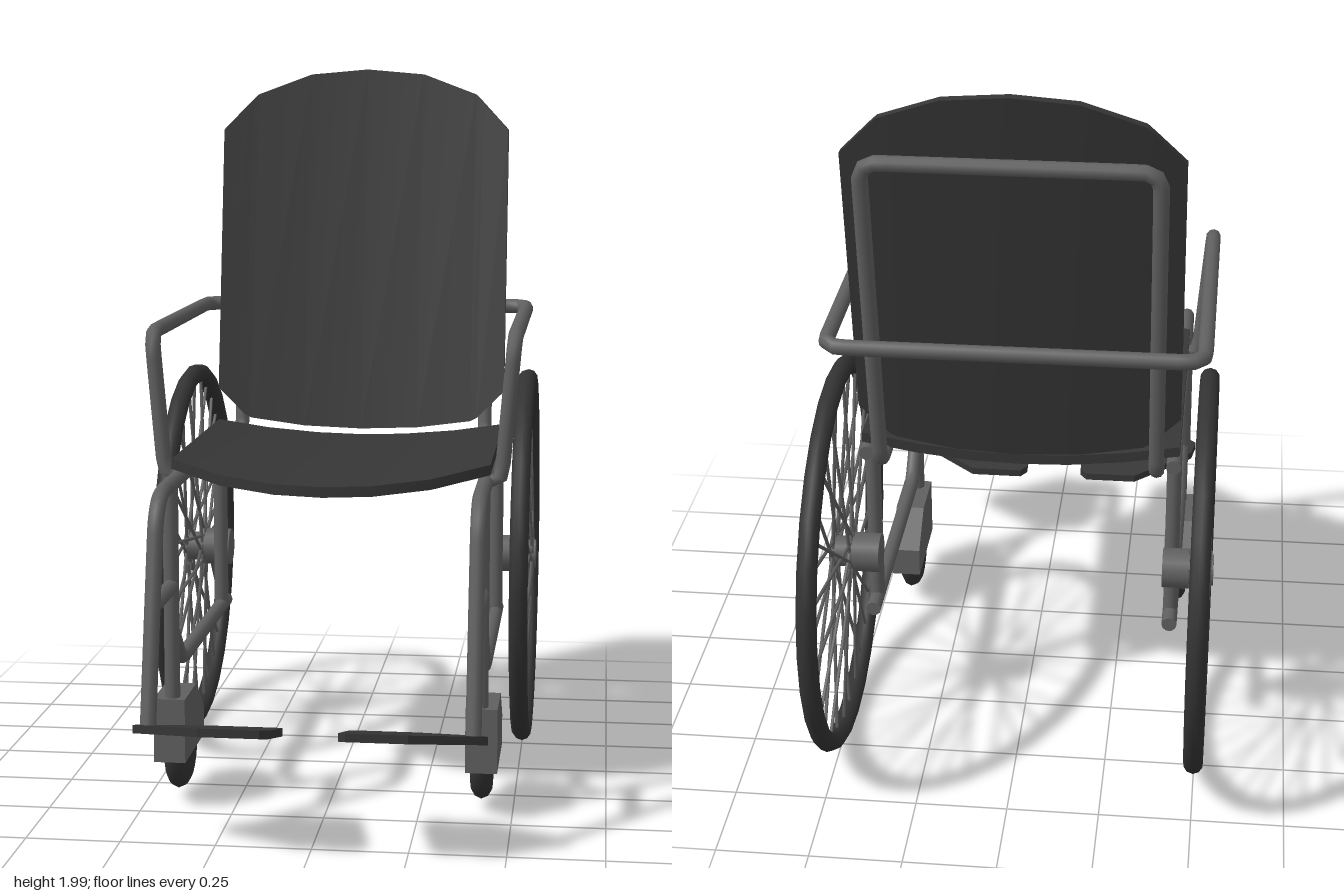
import * as THREE from 'three';

const V = (x, y, z) => new THREE.Vector3(x, y, z);

export function createModel() {
  const model = new THREE.Group();
  const mat = (name, color) => {
    const m = new THREE.MeshStandardMaterial({ color });
    m.name = name;
    return m;
  };
  const fabric = mat('dark fabric', 0x363636);
  const rubber = mat('black rubber', 0x333333);
  const metal = mat('grey metal', 0x606060);

  const add = (name, geo, material, parent = model) => {
    const mesh = new THREE.Mesh(geo, material);
    mesh.name = name;
    parent.add(mesh);
    return mesh;
  };

  // Bent pipe through corner points, rounded by a bend distance, with flat end caps
  const pipe = (name, pts, bend = 0.06, r = 0.021) => {
    const path = new THREE.CurvePath();
    let from = pts[0];
    for (let i = 1; i < pts.length - 1; i++) {
      const p = pts[i];
      const toward = (q) => {
        const d = q.clone().sub(p);
        return p.clone().addScaledVector(d.normalize(), Math.min(bend, p.distanceTo(q) * 0.45));
      };
      const a = toward(pts[i - 1]), b = toward(pts[i + 1]);
      path.add(new THREE.LineCurve3(from, a));
      path.add(new THREE.QuadraticBezierCurve3(a, p, b));
      from = b;
    }
    path.add(new THREE.LineCurve3(from, pts[pts.length - 1]));
    const group = new THREE.Group();
    group.name = name;
    add(name + 'Tube', new THREE.TubeGeometry(path, pts.length > 2 ? 90 : 1, r, 10), metal, group);
    for (const t of [0, 1]) {
      const cap = add(name + 'Cap', new THREE.CircleGeometry(r, 10), metal, group);
      const end = path.getPointAt(t);
      cap.position.copy(end);
      cap.lookAt(end.clone().addScaledVector(path.getTangentAt(t), t ? 1 : -1));
    }
    model.add(group);
  };

  // Slab with an outline given as [x, low, high] columns; place() curves it into position
  const panel = (name, half, place) => {
    const cols = [...half.map(([x, a, b]) => [-x, a, b]), ...half.slice(0, -1).reverse()];
    const n = cols.length - 1;
    const geo = new THREE.BoxGeometry(1, 1, 1, n, 1, 1);
    const p = geo.attributes.position;
    for (let i = 0; i < p.count; i++) {
      const [x, low, high] = cols[Math.round((p.getX(i) + 0.5) * n)];
      const v = place(x, low, high, p.getY(i) > 0, p.getZ(i) > 0);
      p.setXYZ(i, v.x, v.y, v.z);
    }
    geo.computeVertexNormals();
    add(name, geo, fabric);
  };

  // Sagging seat with a rounded front edge
  panel('seat', [[0.43, -0.38, 0.36], [0.28, -0.385, 0.47], [0.13, -0.39, 0.515], [0, -0.39, 0.525]],
    (x, back, front, top, isFront) =>
      V(x, 0.885 + 0.04 * (x / 0.43) ** 2 + (top ? 0.028 : 0), isFront ? front : back));

  // Reclined backrest, hollowed toward the middle
  panel('backrest', [[0.43, 1.05, 1.82], [0.35, 0.97, 1.905], [0.33, 0.96, 1.925],
    [0.17, 0.937, 1.985], [0, 0.93, 2]],
    (x, low, high, top, isFront) => {
      const y = top ? high : low;
      return V(x, y, -0.393 - 0.18 * (y - 0.94) + 0.035 * (x / 0.43) ** 2 - (isFront ? 0 : 0.03));
    });

  // Frame behind the backrest
  pipe('backFrame', [V(-0.37, 0.9, -0.36), V(-0.37, 0.9, -0.445), V(-0.37, 1.82, -0.608),
    V(0.37, 1.82, -0.608), V(0.37, 0.9, -0.445), V(0.37, 0.9, -0.36)], 0.05);

  // Armrest loop running round the back
  pipe('armrest', [V(-0.42, 0.9, 0.315), V(-0.457, 0.9, 0.315), V(-0.49, 1.29, 0.315), V(-0.49, 1.29, -0.552),
    V(0.49, 1.29, -0.552), V(0.49, 1.29, 0.315), V(0.457, 0.9, 0.315), V(0.42, 0.9, 0.315)], 0.055);

  // Large wheel: tyre, hub and crossed spokes
  const spokeBetween = (a, b) => {
    const d = b.clone().sub(a);
    const geo = new THREE.CylinderGeometry(0.005, 0.005, d.length(), 5, 1, true);
    geo.applyQuaternion(new THREE.Quaternion().setFromUnitVectors(V(0, 1, 0), d.normalize()));
    const mid = a.clone().add(b).multiplyScalar(0.5);
    return geo.translate(mid.x, mid.y, mid.z);
  };
  const drum = (name, r, x0, x1, s, parent) => {
    const geo = new THREE.CylinderGeometry(r, r, x1 - x0, 16).rotateZ(Math.PI / 2);
    add(name, geo, metal, parent).position.x = s * (x0 + x1) / 2;
  };
  const bigWheel = (s) => {
    const wheel = new THREE.Group();
    wheel.name = s > 0 ? 'leftWheel' : 'rightWheel';
    wheel.position.set(0, 0.565, -0.36);
    add('tyre', new THREE.TorusGeometry(0.528, 0.027, 10, 28).rotateY(Math.PI / 2), rubber, wheel)
      .position.x = s * 0.5;
    drum('innerHub', 0.055, 0.392, 0.465, s, wheel);
    drum('outerHub', 0.043, 0.465, 0.532, s, wheel);
    const count = 32;
    for (let i = 0; i < count; i++) {
      const a = (i / count) * Math.PI * 2;
      const h = a + (i % 4 < 2 ? 0.9 : -0.9);
      const x = s * (i % 2 ? 0.475 : 0.522);
      add('spoke', spokeBetween(V(x, Math.sin(h) * 0.04, Math.cos(h) * 0.04),
        V(s * 0.5, Math.sin(a) * 0.515, Math.cos(a) * 0.515)), metal, wheel);
    }
    model.add(wheel);
  };

  const outline = (pts) => new THREE.Shape(pts.map(([a, b]) => new THREE.Vector2(a, b)));

  for (const s of [1, -1]) {
    const side = s > 0 ? 'left' : 'right';
    const X = s * 0.415;

    // Side frame pipes
    pipe(side + 'SeatRail', [V(X, 0.9, -0.4), V(X, 0.9, 0.64), V(X, 0.32, 0.785)], 0.1);
    pipe(side + 'FrontPost', [V(X, 0.9, 0.46), V(X, 0.3, 0.46)]);
    pipe(side + 'RearPost', [V(X, 0.9, -0.31), V(X, 0.4, -0.31)]);
    pipe(side + 'LowerRail', [V(X, 0.51, 0.46), V(X, 0.395, 0.345), V(X, 0.395, -0.385)], 0.05);
    pipe(side + 'LegBrace', [V(X, 0.625, 0.46), V(X, 0.625, 0.705)]);

    // Tilted footplate
    const foot = new THREE.ExtrudeGeometry(outline([[0.087, 0.655], [0.107, 0.635], [0.262, 0.635],
      [0.44, 0.752], [0.452, 0.8], [0.262, 0.92], [0.107, 0.92], [0.087, 0.9]].map(([x, z]) => [s * x, z])),
      { depth: 0.022, bevelEnabled: false });
    foot.rotateX(Math.PI / 2);
    const p = foot.attributes.position;
    for (let i = 0; i < p.count; i++) p.setY(i, p.getY(i) + 0.295 + 0.265 * (p.getZ(i) - 0.635));
    foot.computeVertexNormals();
    add(side + 'Footplate', foot, fabric);

    // Caster housing and its small wheel
    const fork = new THREE.ExtrudeGeometry(outline([[0.49, 0.32], [0.32, 0.32], [0.21, 0.23],
      [0.21, 0.145], [0.49, 0.145]]), { depth: 0.085, bevelEnabled: false });
    fork.translate(0, 0, -0.0425).rotateY(-Math.PI / 2);
    add(side + 'CasterHousing', fork, metal).position.x = s * 0.419;
    const profile = [[0, -0.028], [0.095, -0.028], [0.112, -0.018], [0.12, 0], [0.112, 0.018],
      [0.095, 0.028], [0, 0.028]].map(([r, h]) => new THREE.Vector2(r, h));
    add(side + 'CasterWheel', new THREE.LatheGeometry(profile, 20).rotateZ(Math.PI / 2), rubber)
      .position.set(X, 0.157, 0.35);

    bigWheel(s);
  }
  return model;
}
